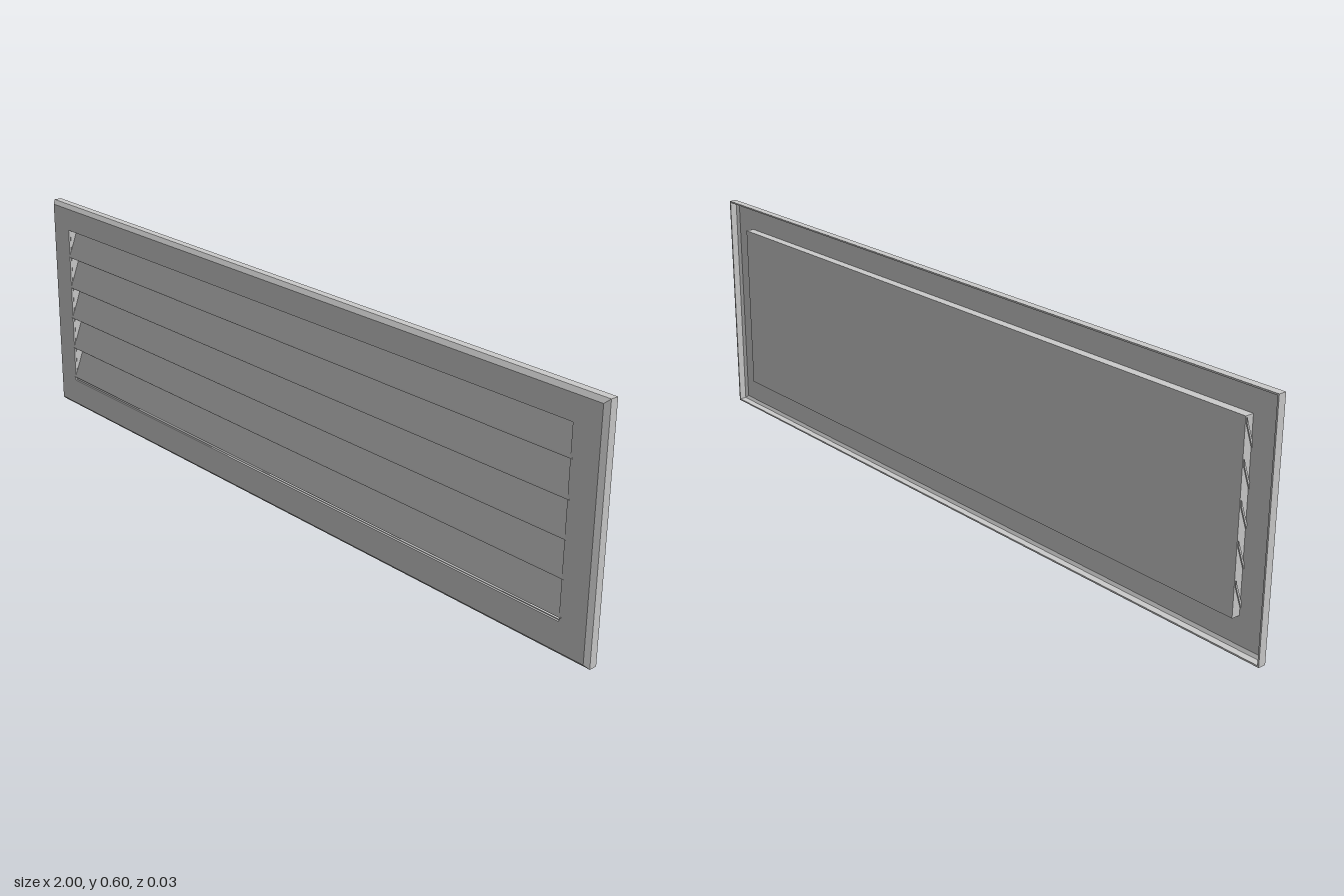
import * as THREE from 'three';

const material = new THREE.MeshStandardMaterial({ color: 0xcccccc, flatShading: true });

// Skins a run of rectangular rings, each [half width, bottom, top, z]
function ringSkin(rings) {
  const pos = [];
  const corners = ([x, y0, y1, z]) => [[x, y0, z], [x, y1, z], [-x, y1, z], [-x, y0, z]];
  for (let i = 0; i < rings.length - 1; i++) {
    const p = corners(rings[i]);
    const q = corners(rings[i + 1]);
    for (let j = 0; j < 4; j++) {
      const k = (j + 1) % 4;
      for (const c of [p[j], p[k], q[k], p[j], q[k], q[j]]) pos.push(...c);
    }
  }
  const geo = new THREE.BufferGeometry();
  geo.setAttribute('position', new THREE.Float32BufferAttribute(pos, 3));
  geo.computeVertexNormals();
  return geo;
}

// Rectangle inset from the outer edge of the panel
const inset = (d, z) => [1 - d, d, 0.6 - d, z];

export function createModel() {
  const group = new THREE.Group();
  const add = (name, geo) => {
    const mesh = new THREE.Mesh(geo, material);
    mesh.name = name;
    group.add(mesh);
    return mesh;
  };

  // Hollow frame: side lip, chamfer, flat face, opening, and the inside of the shell
  add('frame', ringSkin([
    inset(0, -0.015),
    inset(0, 0.005),
    inset(0.01, 0.015),
    [0.918, 0.081, 0.529, 0.015],
    [0.918, 0.081, 0.529, 0.009],
    inset(0.011, 0.009),
    inset(0.004, 0.003),
    inset(0.004, -0.015),
    inset(0, -0.015),
  ]));

  // Shallow pan behind the louvers
  add('panWalls', ringSkin([
    [0.92, 0.08, 0.53, -0.0135],
    [0.92, 0.08, 0.53, 0.01],
    [0.917, 0.083, 0.527, 0.01],
    [0.917, 0.083, 0.527, -0.0135],
  ]));
  const panBack = add('panBack', new THREE.BoxGeometry(1.84, 0.45, 0.002));
  panBack.position.set(0, 0.305, -0.0125);

  // Slanted slats with a rounded lower nose; their ends pass through the pan walls
  const profile = new THREE.Shape();
  profile.moveTo(-0.0115, 0.077);
  profile.lineTo(0.0148, 0.006);
  profile.quadraticCurveTo(0.0175, -0.001, 0.012, -0.001);
  profile.lineTo(-0.0115, 0.064);
  profile.closePath();
  const slat = new THREE.ExtrudeGeometry(profile, { depth: 1.846, bevelEnabled: false, curveSegments: 6 });
  slat.rotateY(-Math.PI / 2).translate(0.923, 0, 0);
  for (let i = 1; i <= 5; i++) add('slat' + i, slat).position.y = 0.09 * i;

  return group;
}
